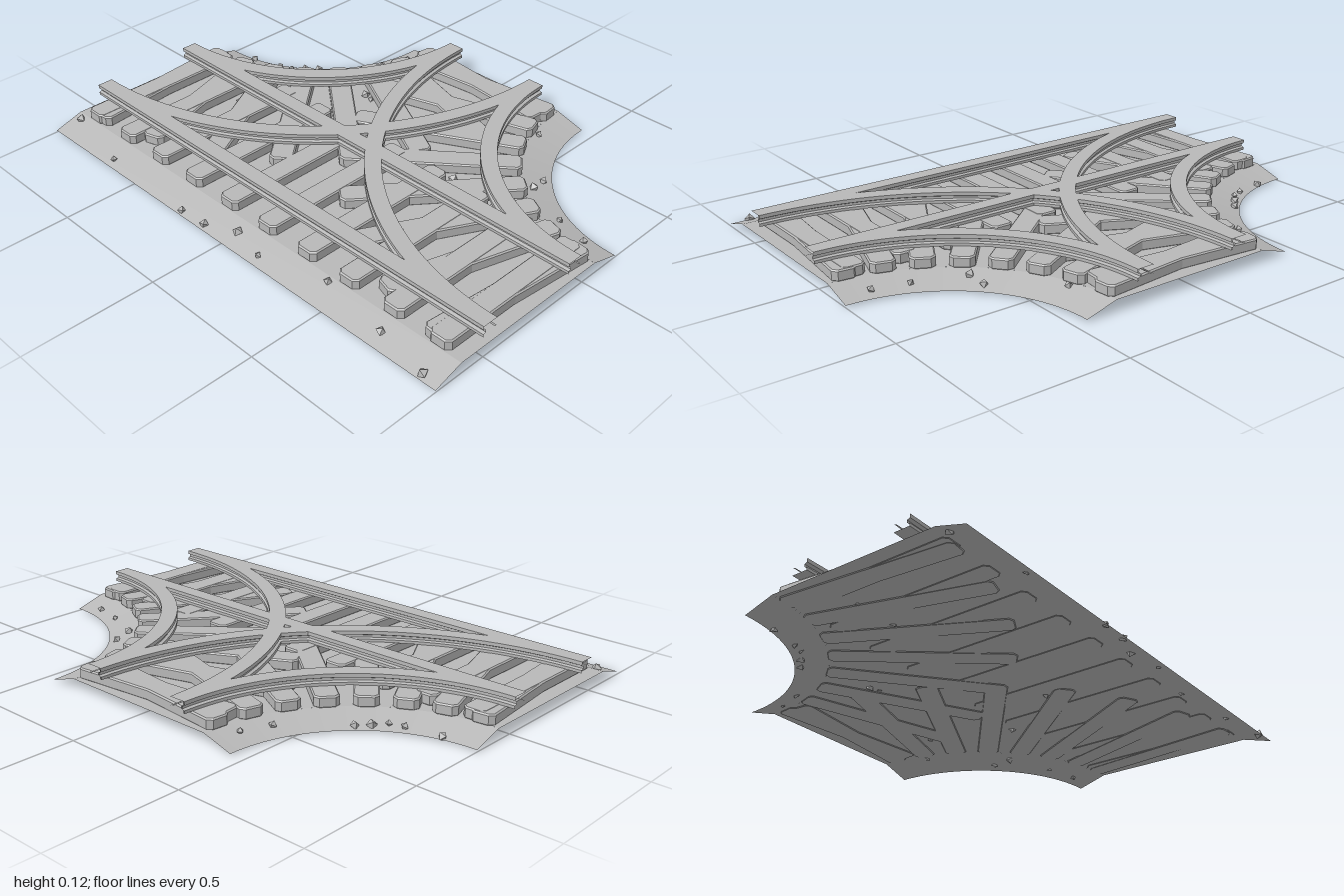
import * as THREE from 'three';
import { toCreasedNormals } from 'three/addons/utils/BufferGeometryUtils.js';
import { ParametricGeometry } from 'three/addons/geometries/ParametricGeometry.js';

const BACK = -0.735, FRONT = 0.715;   // z of the back and front edges
const FLAT = 0.035;                   // height of the raised bed
const HALF_PI = Math.PI / 2;

// Rail cross-section, (sideways, up): foot, web and head
const PROFILE = [
  [-0.031, 0.074], [0.031, 0.074], [0.031, 0.085], [0.02, 0.089], [0.02, 0.098], [0.031, 0.103], [0.031, 0.117],
  [-0.031, 0.117], [-0.031, 0.103], [-0.02, 0.098], [-0.02, 0.089], [-0.031, 0.085],
];

// Sweep the rail section along a path; path(v) gives [x, z, sideX, sideZ]
function railGeometry(path, steps) {
  const n = PROFILE.length;
  const geo = new ParametricGeometry((u, v, target) => {
    const [s, y] = PROFILE[Math.round(u * n) % n];
    const [x, z, sx, sz] = path(v);
    target.set(x + s * sx, y, z + s * sz);
  }, n, steps);
  return toCreasedNormals(geo, 0.4);
}

// Sleeper block with clipped corners and a small bevel, long axis on z
function sleeperGeometry(width, length) {
  const b = 0.005, c = 0.014, w = width / 2 - b, l = length / 2 - b;
  const shape = new THREE.Shape([
    [-w + c, -l], [w - c, -l], [w, -l + c], [w, l - c],
    [w - c, l], [-w + c, l], [-w, l - c], [-w, -l + c],
  ].map(([x, y]) => new THREE.Vector2(x, y)));
  const geo = new THREE.ExtrudeGeometry(shape, {
    depth: 0.032, bevelEnabled: true, bevelThickness: b, bevelSize: b, bevelSegments: 1,
  });
  return geo.rotateX(-HALF_PI).translate(0, 0.038, 0);
}

export function createModel() {
  const root = new THREE.Group();
  const grey = new THREE.MeshStandardMaterial({ color: 0xb8b8b8 });
  grey.name = 'stoneGrey';
  const greySheet = new THREE.MeshStandardMaterial({ color: 0xb8b8b8, side: THREE.DoubleSide });
  greySheet.name = 'stoneGreySheet';

  const add = (parent, name, geo, mat = grey) => {
    const mesh = new THREE.Mesh(geo, mat);
    mesh.name = name;
    parent.add(mesh);
    return mesh;
  };
  const group = (name) => {
    const g = new THREE.Group();
    g.name = name;
    root.add(g);
    return g;
  };

  // Ground: flat bed with sloping shoulders at the front and both curved corners
  const ground = group('ground');
  const bed = new THREE.Shape();
  bed.moveTo(-1, -0.6);
  bed.lineTo(1, -0.6);
  bed.lineTo(1, -BACK - 0.67);
  bed.absarc(1, -BACK, 0.67, -HALF_PI, -Math.PI, true);
  bed.lineTo(-0.33, -BACK);
  bed.absarc(-1, -BACK, 0.67, 0, -HALF_PI, true);
  add(ground, 'bed', new THREE.ShapeGeometry(bed, 32).rotateX(-HALF_PI).translate(0, FLAT, 0), greySheet);

  const drop = FRONT - 0.6;
  const shoulder = new THREE.PlaneGeometry(2, Math.hypot(drop, FLAT))
    .rotateX(-HALF_PI + Math.atan2(FLAT, drop))
    .translate(0, FLAT / 2, 0.6 + drop / 2);
  add(ground, 'frontShoulder', shoulder, greySheet);

  for (const side of [-1, 1]) {
    const slope = new THREE.LatheGeometry(
      [new THREE.Vector2(0.67, FLAT), new THREE.Vector2(0.55, 0)], 32, side < 0 ? 0 : -HALF_PI, HALF_PI);
    add(ground, 'curvedShoulder', slope, greySheet).position.set(side, 0, BACK);
  }

  // Rails: two straight ones, and an inner and outer quarter circle on each side
  const rails = group('rails');
  for (const z of [0.0525, 0.4725]) {
    add(rails, 'straightRail', railGeometry((v) => [1 - 2 * v, z, 0, 1], 1));
  }
  for (const side of [-1, 1]) {
    for (const r of [0.7875, 1.2075]) {
      const start = side < 0 ? HALF_PI : 0;
      add(rails, 'curvedRail', railGeometry((v) => {
        const a = start - v * HALF_PI, sx = Math.sin(a), sz = Math.cos(a);
        return [side + r * sx, BACK + r * sz, sx, sz];
      }, 36));
    }
  }

  // Sleepers: ten across the straight track, eight fanned out along each curve
  const sleepers = group('sleepers');
  const block = sleeperGeometry(0.09, 0.67);
  for (let i = 0; i < 10; i++) {
    add(sleepers, 'straightSleeper', block).position.set(-0.9 + i * 0.2, 0, 0.2625);
  }
  for (const side of [-1, 1]) {
    for (let i = 0; i < 8; i++) {
      const a = -side * (i + 0.5) * HALF_PI / 8;
      const m = add(sleepers, 'curvedSleeper', block);
      m.position.set(side + 0.9975 * Math.sin(a), -0.001, BACK + 0.9975 * Math.cos(a));
      m.rotation.y = a;
    }
  }

  // Loose stones scattered over the bed and shoulders, [x, z]
  const stones = group('stones');
  const spots = [
    [-0.39, -0.63], [-0.43, -0.52], [-0.61, -0.32], [-0.65, -0.28], [-0.69, -0.24], [-0.74, -0.22], [-0.87, -0.19],
    [-0.29, -0.28], [-0.25, -0.27], [0.38, -0.55], [0.57, -0.34], [0.58, -0.27], [0.76, -0.19], [0.89, -0.155],
    [0.23, -0.41], [0.35, -0.09], [-0.79, 0.11], [-0.61, 0.11], [0.16, 0.2], [-0.96, 0.625], [-0.66, 0.685],
    [-0.23, 0.7], [-0.11, 0.695], [0.02, 0.65], [0.16, 0.68], [0.44, 0.62], [0.72, 0.66], [0.93, 0.695],
  ];
  const pebble = new THREE.OctahedronGeometry(0.017);
  spots.forEach(([x, z], i) => {
    const edge = Math.min(FRONT - z, Math.hypot(1 - Math.abs(x), z - BACK) - 0.55);
    const y = FLAT * THREE.MathUtils.clamp(edge / 0.12, 0, 1);
    const m = add(stones, 'stone', pebble);
    m.position.set(x, y + 0.005, z);
    m.rotation.set(i * 0.7, i * 1.9, i * 1.3);
    m.scale.setScalar(0.8 + (i % 4) * 0.13);
  });

  return root;
}
